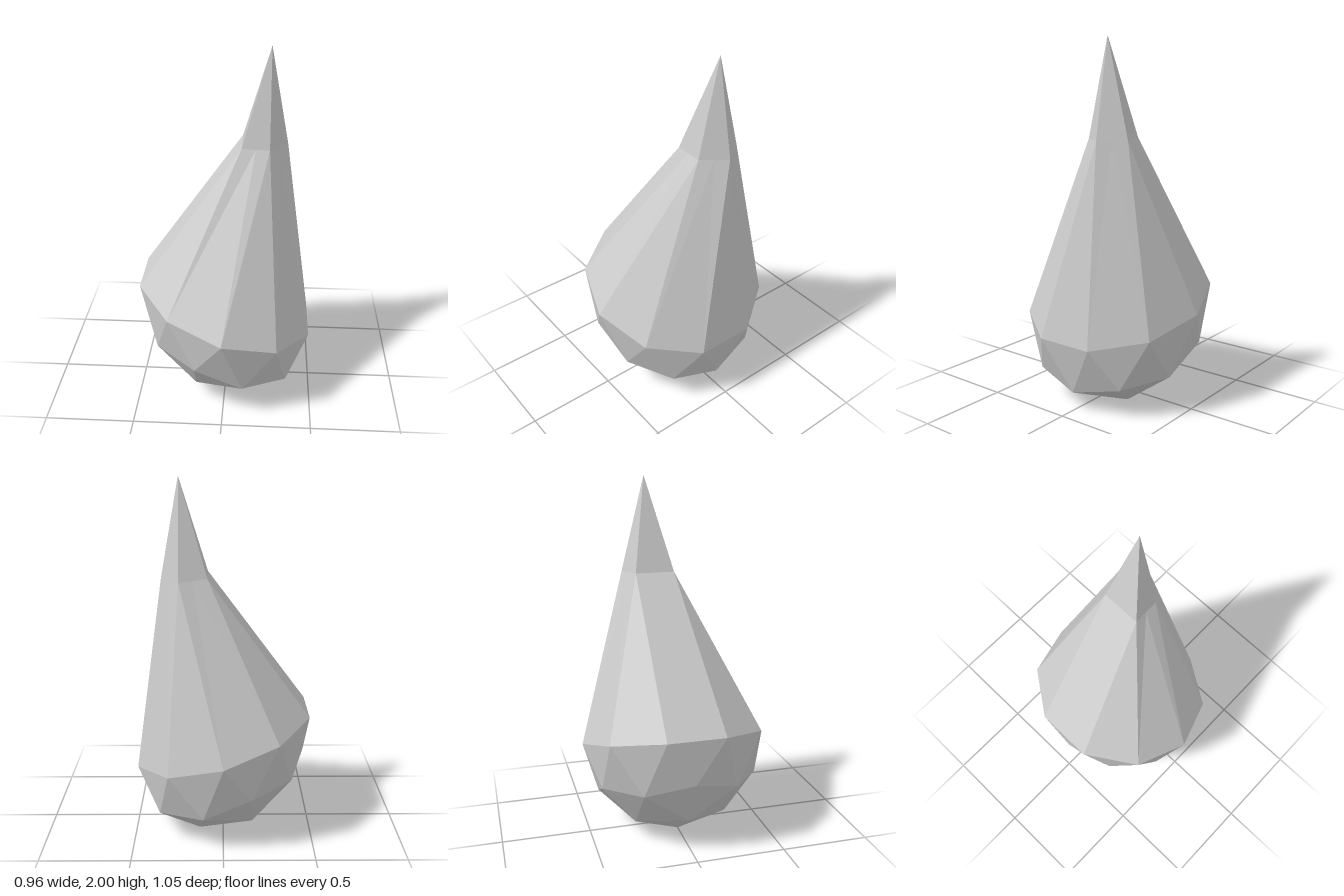
import * as THREE from 'three';

// Ring of the tilted faceted bulb: a circle of given unit radius, sheared down towards +x
function ring(count, startDeg, radius, cx, cy, xScale, tilt) {
  return Array.from({ length: count }, (_, i) => {
    const a = THREE.MathUtils.degToRad(startDeg + (i * 360) / count);
    const x = radius * Math.cos(a), z = radius * Math.sin(a);
    return new THREE.Vector3(cx + x * xScale, cy - x * tilt, z * 0.527);
  });
}

function flatGeometry(triangles) {
  const geometry = new THREE.BufferGeometry().setFromPoints(triangles.flat());
  geometry.computeVertexNormals();
  return geometry;
}

export function createModel() {
  const group = new THREE.Group();
  group.name = 'teardrop';
  const grey = new THREE.MeshStandardMaterial({ color: 0xcccccc, flatShading: true });
  grey.name = 'light grey';
  const at = (list, i) => list[(i + list.length) % list.length];

  // Widest ring
  const widest = ring(10, 18, 1, 0, 0.544, 0.505, 0.155);

  // Lower ring alternates between two icosphere latitudes
  const middles = ring(5, 0, 0.851, -0.026, 0.245, 0.513, 0.166);
  const corners = ring(5, 36, 0.894, -0.012, 0.285, 0.507, 0.164);
  const lower = middles.flatMap((m, j) => [m, corners[j]]);
  const bottom = ring(5, 36, 0.526, -0.08, 0.081, 0.5, 0.167);
  const pole = new THREE.Vector3(-0.1, 0, 0);

  // Neck: five corners with a point halfway along each side
  const neckCorners = [
    [0.33, 1.47, -0.107], [0.233, 1.47, 0.022], [0.082, 1.48, 0.029],
    [0.082, 1.48, -0.189], [0.233, 1.47, -0.238],
  ].map((p) => new THREE.Vector3(...p));
  const neck = neckCorners.flatMap((p, j) => [p, p.clone().lerp(at(neckCorners, j + 1), 0.5)]);
  const tip = new THREE.Vector3(0.231, 2, -0.105);

  const bowl = [], cone = [], spire = [];
  for (let i = 0; i < 10; i++) {
    const w = widest[i], wPrev = at(widest, i - 1);
    const l = lower[i], lNext = at(lower, i + 1);
    const n = neck[i], nNext = at(neck, i + 1);
    bowl.push([lNext, l, w], [w, l, wPrev]);
    cone.push([w, wPrev, n], [w, n, nNext]);
    spire.push([nNext, n, tip]);
  }
  for (let j = 0; j < 5; j++) {
    const i = 2 * j + 1, b = bottom[j], bNext = at(bottom, j + 1);
    const l = lower[i], lNext = at(lower, i + 1);
    bowl.push([l, b, lower[i - 1]], [lNext, b, l], [lNext, bNext, b], [bNext, pole, b]);
  }

  for (const [name, triangles] of Object.entries({ bowl, cone, spire })) {
    const mesh = new THREE.Mesh(flatGeometry(triangles), grey);
    mesh.name = name;
    group.add(mesh);
  }
  return group;
}
